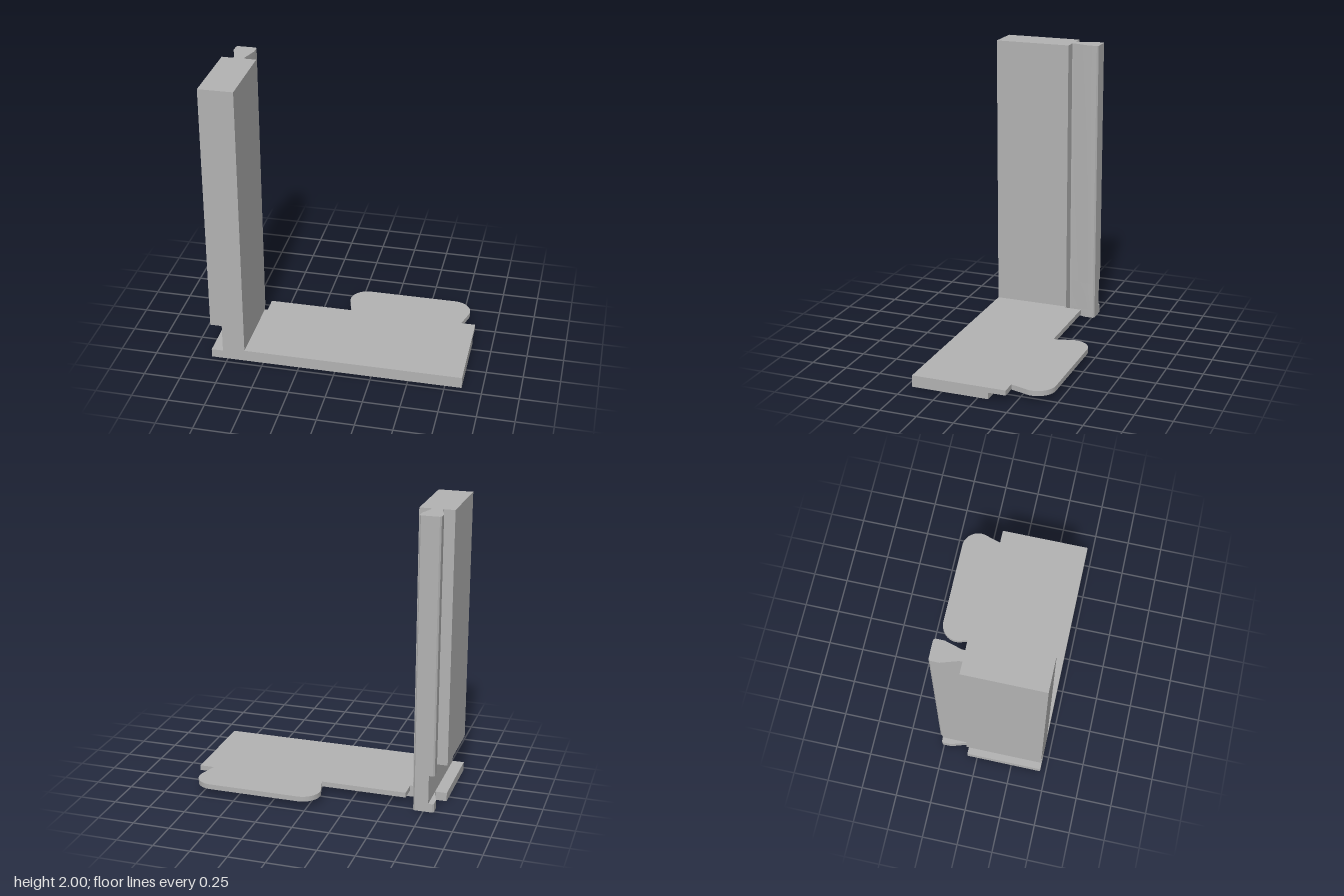
import * as THREE from 'three';
import { toCreasedNormals } from 'three/addons/utils/BufferGeometryUtils.js';

const gray = new THREE.MeshStandardMaterial({ color: 0xb2b2b2 });
gray.name = 'light gray';

// Extrude a plan outline (x, depth towards the back) upwards from y0 to y1
function slab(name, shape, y0, y1) {
  const raw = new THREE.ExtrudeGeometry(shape, { depth: y1 - y0, bevelEnabled: false, curveSegments: 12 });
  raw.rotateX(-Math.PI / 2).translate(0, y0, 0);
  const mesh = new THREE.Mesh(toCreasedNormals(raw, 0.4), gray);
  mesh.name = name;
  return mesh;
}

const outline = (points) => new THREE.Shape(points.map(([x, b]) => new THREE.Vector2(x, b)));

export function createModel() {
  const model = new THREE.Group();
  model.name = 'cornerPanel';

  // Upright post with a flared connector rail along its back
  const post = [
    [-0.863, -0.46], [-0.63, -0.46], [-0.63, 0.07], [-0.712, 0.07], [-0.712, 0.09],
    [-0.68, 0.2], [-0.68, 0.258], [-0.69, 0.268], [-0.81, 0.268], [-0.82, 0.258],
    [-0.82, 0.2], [-0.785, 0.09], [-0.785, 0.07], [-0.863, 0.07],
  ];
  // Same outline cut back on its outer side for the notch
  const cut = post
    .map(([x, b]) => [Math.max(x, -0.783), b])
    .filter(([x, b], i, a) => i === 0 || x !== a[i - 1][0] || b !== a[i - 1][1]);
  const upright = new THREE.Group();
  upright.name = 'upright';
  upright.add(
    slab('uprightFoot', outline(post), 0, 0.06),
    slab('uprightNotch', outline(cut), 0.06, 0.26),
    slab('uprightColumn', outline(post), 0.26, 2),
  );

  // Flat base running sideways from the post
  const base = slab('basePlate', outline([[-0.63, -0.46], [0.863, -0.46], [0.863, 0.07], [-0.63, 0.07]]), 0, 0.08);

  // Upper lip with a rounded tongue, overhanging the layer below
  const r = 0.122, cx = [0.683, 0.061], cb = 0.34, a = 0.42;
  const lip = new THREE.Shape();
  lip.moveTo(-0.61, 0.07);
  lip.lineTo(0.863, 0.07);
  lip.lineTo(0.863, 0.19);
  lip.lineTo(0.765, 0.19);
  lip.absarc(cx[0], cb, r, -a, Math.PI / 2, false);
  lip.absarc(cx[1], cb, r, Math.PI / 2, Math.PI + a, false);
  lip.lineTo(-0.025, 0.19);
  lip.lineTo(-0.61, 0.19);
  lip.closePath();

  // Dovetail under the tongue
  const dovetail = outline([[0.18, 0.07], [0.56, 0.07], [cx[0], cb], [cx[1], cb]]);

  model.add(upright, base, slab('upperLip', lip, 0.045, 0.08), slab('lowerDovetail', dovetail, 0, 0.045));
  return model;
}
